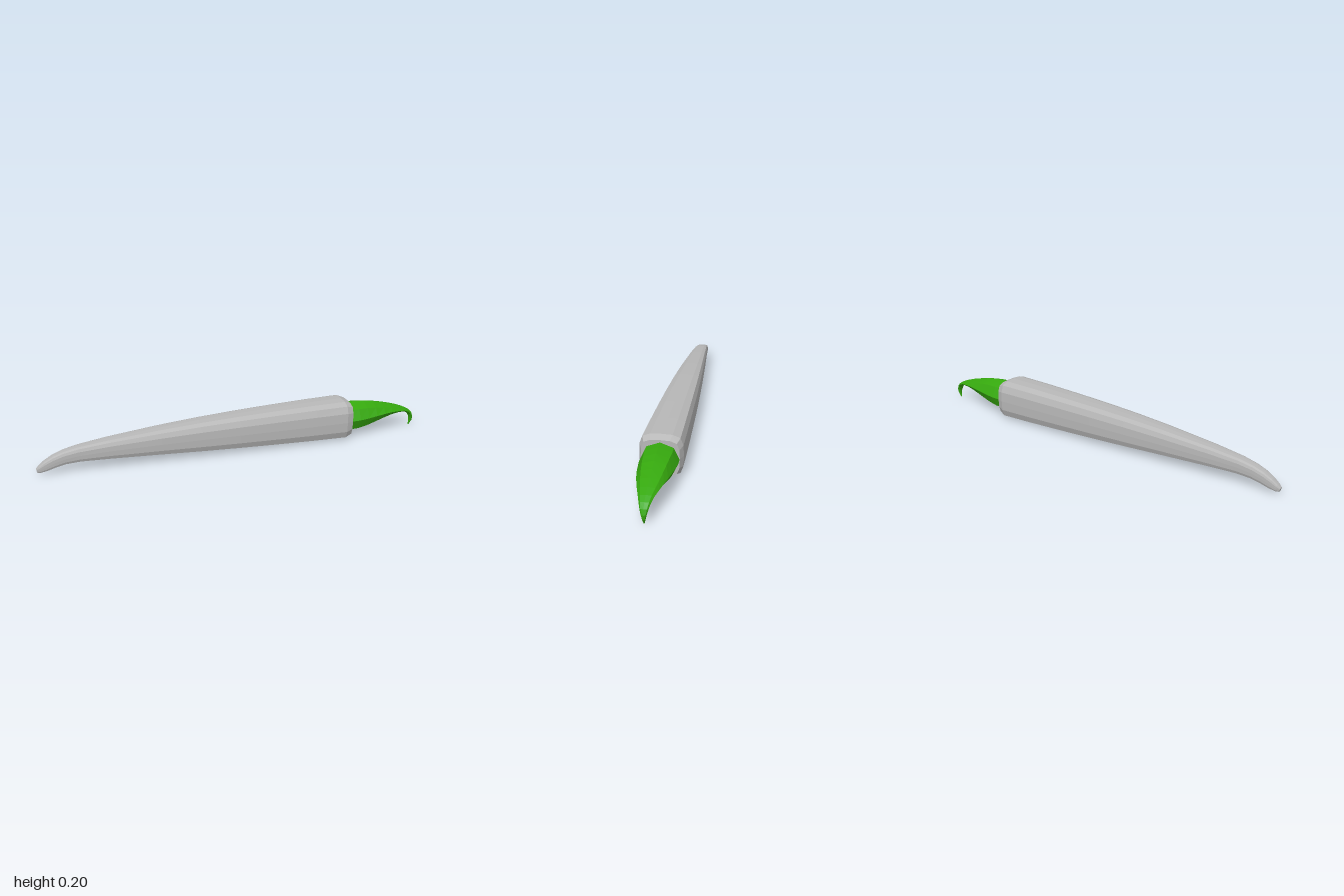
import * as THREE from 'three';

// Loft closed rings along the length.
// ring: [topX, topY, bottomX, bottomY, halfWidth]; section: unit [z, y] points from the top towards +z
function loft(rings, section) {
  const n = section.length, pos = [], idx = [];
  for (const [tx, ty, bx, by, w] of rings) {
    for (const [z, y] of section) {
      const t = (1 - y) / 2;
      pos.push(tx + (bx - tx) * t, ty + (by - ty) * t, z * w);
    }
  }
  for (let i = 0; i < rings.length - 1; i++) {
    for (let j = 0; j < n; j++) {
      const k = (j + 1) % n, a = i * n + j, b = a + n, c = i * n + k, d = c + n;
      idx.push(a, c, b, b, c, d);
    }
  }
  // end caps
  const last = (rings.length - 1) * n;
  for (let j = 1; j < n - 1; j++) {
    idx.push(0, j + 1, j, last, last + j, last + j + 1);
  }
  const geo = new THREE.BufferGeometry();
  geo.setAttribute('position', new THREE.Float32BufferAttribute(pos, 3));
  geo.setIndex(idx);
  geo.computeVertexNormals();
  return geo;
}

export function createModel() {
  const group = new THREE.Group();
  const grey = new THREE.MeshStandardMaterial({ color: 0xb8b8b8, flatShading: true });
  grey.name = 'light grey';
  const green = new THREE.MeshStandardMaterial({ color: 0x36a90e, flatShading: true });
  green.name = 'leaf green';

  // sixteen-sided rounded square, built from one quadrant
  const quadrant = [[0, 1], [0.5, 0.98], [0.85, 0.85], [0.98, 0.5]];
  const square = [];
  for (let q = 0; q < 4; q++) {
    for (let [z, y] of quadrant) {
      for (let r = 0; r < q; r++) [z, y] = [y, -z];
      square.push([z, y]);
    }
  }
  const octagon = Array.from({ length: 8 }, (_, i) => [Math.sin(i * Math.PI / 4), Math.cos(i * Math.PI / 4)]);

  // long tapered handle with a drooping tail
  const handle = new THREE.Mesh(loft([
    [-1, 0.032, -0.995, 0.013, 0.01],
    [-0.985, 0.046, -0.98, 0.012, 0.017],
    [-0.96, 0.066, -0.95, 0.018, 0.022],
    [-0.92, 0.089, -0.91, 0.031, 0.027],
    [-0.87, 0.108, -0.86, 0.043, 0.031],
    [-0.8, 0.124, -0.79, 0.048, 0.036],
    [-0.65, 0.143, -0.65, 0.045, 0.047],
    [-0.4, 0.166, -0.4, 0.035, 0.063],
    [-0.2, 0.18, -0.2, 0.026, 0.074],
    [0, 0.19, 0, 0.018, 0.083],
    [0.2, 0.197, 0.2, 0.011, 0.09],
    [0.4, 0.202, 0.4, 0.005, 0.096],
    [0.57, 0.204, 0.57, 0.002, 0.1],
    [0.605, 0.19, 0.605, 0.016, 0.087],
  ], square), grey);
  handle.name = 'handle';
  group.add(handle);

  // faceted head narrowing into a downward hook
  const hook = new THREE.Mesh(loft([
    [0.59, 0.179, 0.59, 0.023, 0.086],
    [0.65, 0.178, 0.65, 0.026, 0.086],
    [0.7, 0.174, 0.7, 0.036, 0.081],
    [0.75, 0.166, 0.75, 0.053, 0.075],
    [0.8, 0.154, 0.8, 0.07, 0.067],
    [0.85, 0.141, 0.845, 0.083, 0.057],
    [0.9, 0.126, 0.89, 0.09, 0.045],
    [0.94, 0.111, 0.925, 0.09, 0.034],
    [0.97, 0.095, 0.95, 0.082, 0.026],
    [0.99, 0.074, 0.968, 0.068, 0.019],
    [0.999, 0.05, 0.977, 0.049, 0.013],
    [0.997, 0.028, 0.979, 0.028, 0.008],
    [0.982, 0.003, 0.977, 0.005, 0.002],
  ], octagon), green);
  hook.name = 'hookedHead';
  group.add(hook);

  return group;
}
